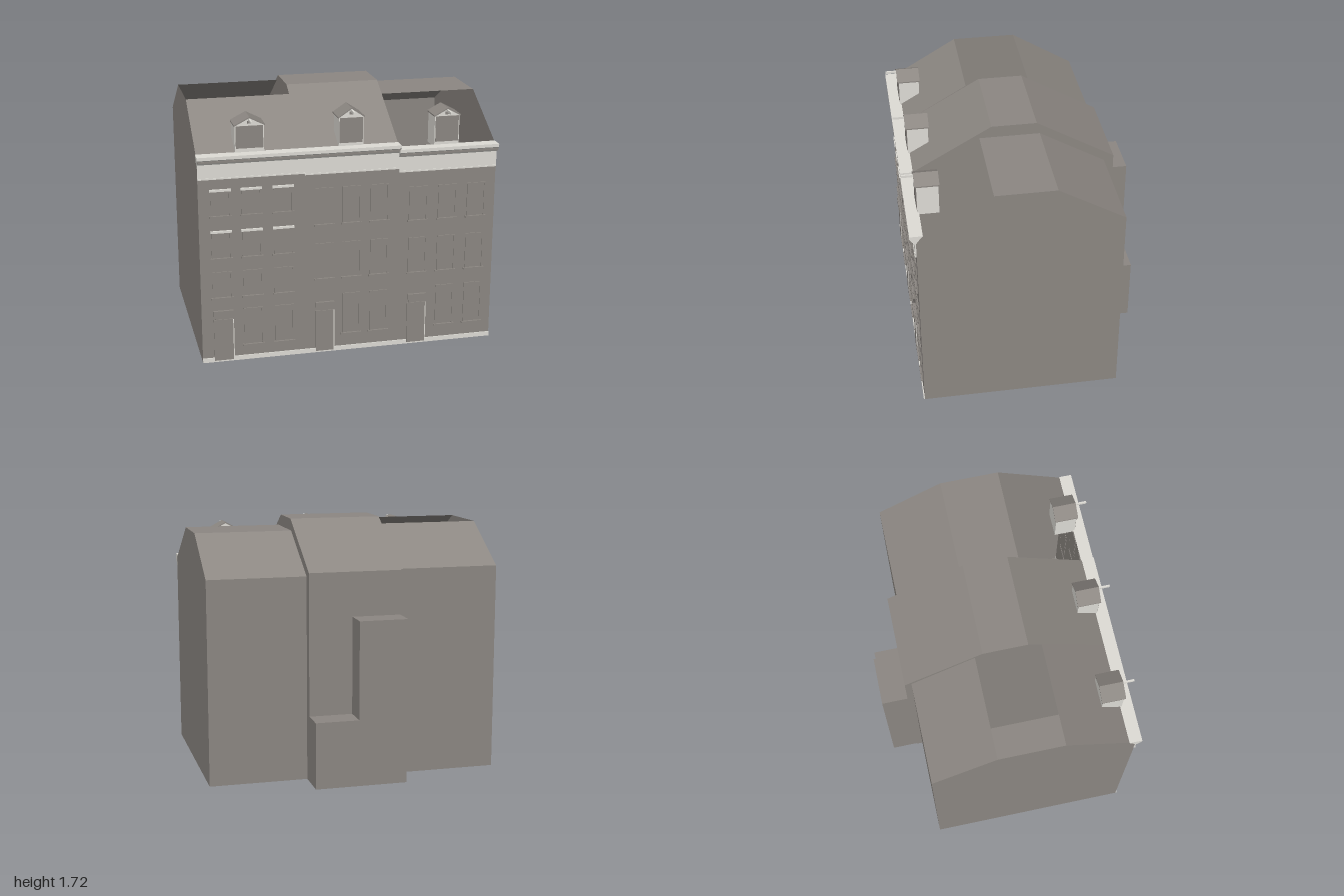
import * as THREE from 'three';

const wallMat = new THREE.MeshStandardMaterial({ color: 0x8c8782, side: THREE.DoubleSide });
wallMat.name = 'warm grey masonry';
const trimMat = new THREE.MeshStandardMaterial({ color: 0xdedcd6, side: THREE.DoubleSide });
trimMat.name = 'pale trim';

const FRONT = 0.76;

function add(parent, name, geometry, material) {
  const mesh = new THREE.Mesh(geometry, material);
  mesh.name = name;
  parent.add(mesh);
  return mesh;
}

// Box given by its limits on each axis
function box(parent, name, mat, x0, x1, y0, y1, z0, z1) {
  const g = new THREE.BoxGeometry(x1 - x0, y1 - y0, z1 - z0);
  g.translate((x0 + x1) / 2, (y0 + y1) / 2, (z0 + z1) / 2);
  return add(parent, name, g, mat);
}

// Sheets swept along x through a closed (z, y) profile, leaving out one open side
function sweep(profile, x0, x1, open = -1) {
  const pos = [];
  profile.forEach(([za, ya], i) => {
    if (i === open) return;
    const [zb, yb] = profile[(i + 1) % profile.length];
    pos.push(x0, ya, za, x1, ya, za, x1, yb, zb, x0, ya, za, x1, yb, zb, x0, yb, zb);
  });
  const g = new THREE.BufferGeometry();
  g.setAttribute('position', new THREE.Float32BufferAttribute(pos, 3));
  g.computeVertexNormals();
  return g;
}

// Flat end cap of the same profile, facing -x (side -1) or +x (side 1)
function cap(profile, x, side) {
  const shape = new THREE.Shape(profile.map(([z, y]) => new THREE.Vector2(-side * z, y)));
  return new THREE.ShapeGeometry(shape).rotateY(side * Math.PI / 2).translate(x, 0, 0);
}

function solid(parent, name, mat, profile, x0, x1, open) {
  const group = new THREE.Group();
  group.name = name;
  add(group, name + 'Sides', sweep(profile, x0, x1, open), mat);
  for (const s of [-1, 1]) add(group, name + 'End', cap(profile, s < 0 ? x0 : x1, s), mat);
  parent.add(group);
}

// Thin raised surround with a sill, and an optional pale lintel
function addWindow(parent, x0, x1, y0, y1, paleLintel) {
  const w = new THREE.Group();
  w.name = 'window';
  const t = 0.008, z = FRONT + 0.007;
  box(w, 'pane', wallMat, x0 + t, x1 - t, y0 + t, y1 - t, FRONT - 0.004, FRONT + 0.002);
  for (const x of [x0, x1 - t]) box(w, 'jamb', wallMat, x, x + t, y0, y1, FRONT - 0.002, z);
  box(w, 'head', wallMat, x0, x1, y1 - t, y1, FRONT - 0.002, z);
  box(w, 'sill', wallMat, x0 - 0.01, x1 + 0.008, y0 - 0.012, y0, FRONT - 0.002, FRONT + 0.014);
  if (paleLintel) box(w, 'lintel', trimMat, x0 - 0.006, x1 + 0.006, y1, y1 + 0.014, FRONT - 0.002, FRONT + 0.014);
  parent.add(w);
}

function addDoor(parent, x0, x1) {
  const d = new THREE.Group();
  d.name = 'door';
  box(d, 'doorLeaf', wallMat, x0, x1, 0.01, 0.3, FRONT - 0.004, FRONT + 0.009);
  box(d, 'doorJamb', trimMat, x1, x1 + 0.006, 0.01, 0.295, FRONT - 0.002, FRONT + 0.008);
  box(d, 'transom', wallMat, x0 + 0.01, x1 - 0.01, 0.3, 0.33, FRONT - 0.002, FRONT + 0.004);
  box(d, 'doorHood', wallMat, x0, x1 + 0.004, 0.325, 0.362, FRONT - 0.002, FRONT + 0.016);
  parent.add(d);
}

// Gabled dormer with a hoist beam
function addDormer(parent, x, half, y0, y1, peak) {
  const d = new THREE.Group();
  d.name = 'dormer';
  const zb = 0.585, zf = 0.725, body = half - 0.006;
  box(d, 'dormerBody', trimMat, x - body, x + body, y0 - 0.03, y1, zb, zf);
  box(d, 'dormerWindow', wallMat, x - body + 0.006, x + body - 0.006, y0 + 0.006, y1 - 0.004, zf, zf + 0.004);
  const tri = new THREE.Shape([[-half, y1], [half, y1], [0, peak - 0.008]].map((p) => new THREE.Vector2(...p)));
  const gable = new THREE.ExtrudeGeometry(tri, { depth: zf - zb, bevelEnabled: false });
  add(d, 'pediment', gable.translate(x, 0, zb), trimMat);
  for (const s of [-1, 1]) {
    const slope = new THREE.Shape([[0, peak], [0, peak - 0.008], [s * half, y1 - 0.004], [s * half, y1 + 0.004]]
      .map((p) => new THREE.Vector2(...p)));
    const g = new THREE.ExtrudeGeometry(slope, { depth: 0.158, bevelEnabled: false });
    add(d, 'dormerRoof', g.translate(x, 0, 0.578), wallMat);
  }
  box(d, 'pedimentVent', wallMat, x - 0.012, x + 0.012, peak - 0.045, peak - 0.028, zf, zf + 0.004);
  box(d, 'hoistBeam', trimMat, x - 0.006, x + 0.006, peak - 0.028, peak - 0.012, 0.7, 0.81);
  parent.add(d);
}

const HOUSES = [
  { name: 'rightHouse', x0: -0.995, x1: -0.305, eave: 1.41, ridge: 1.67, zr: [0.28, -0.16], back: -0.59, open: 3,
    band: 1.27, cols: [-0.917, -0.717, -0.51], w: 0.127, rows: [[1.015, 1.178, 1], [0.728, 0.9, 1], [0.455, 0.632, 0]],
    ground: [0.11, 0.365], dormer: [-0.652, 0.1, 1.435, 1.59, 1.645] },
  { name: 'middleHouse', x0: -0.305, x1: 0.325, eave: 1.41, ridge: 1.715, zr: [0.19, -0.11], back: -0.635, open: -1,
    band: 1.26, cols: [-0.235, -0.053, 0.135], w: 0.122, rows: [[0.908, 1.155, 0], [0.53, 0.775, 0]],
    ground: [0.125, 0.41], dormer: [0.01, 0.088, 1.43, 1.605, 1.668] },
  { name: 'leftHouse', x0: 0.325, x1: 0.99, eave: 1.38, ridge: 1.635, zr: [0.27, -0.13], back: -0.57, open: 2,
    band: 1.235, cols: [0.397, 0.597, 0.797], w: 0.125, rows: [[0.89, 1.12, 0], [0.52, 0.765, 0]],
    ground: [0.125, 0.41], dormer: [0.655, 0.09, 1.4, 1.58, 1.632] },
];

export function createModel() {
  const model = new THREE.Group();
  model.name = 'rowOfHouses';

  for (const h of HOUSES) {
    const house = new THREE.Group();
    house.name = h.name;
    model.add(house);

    // Hollow shell: front, eave, front slope, flat top, back slope, back, floor
    const profile = [[FRONT, 0], [FRONT, h.eave - 0.01], [0.725, h.eave], [h.zr[0], h.ridge],
      [h.zr[1], h.ridge], [h.back, h.eave], [h.back, 0]];
    solid(house, 'shell', wallMat, profile, h.x0, h.x1, h.open);

    // Frieze, gutter and plinth
    const e = h.eave;
    box(house, 'frieze', trimMat, h.x0, h.x1, h.band, e - 0.033, FRONT - 0.002, FRONT + 0.008);
    box(house, 'friezeFoot', trimMat, h.x0, h.x1, h.band - 0.01, h.band, FRONT - 0.002, FRONT + 0.012);
    solid(house, 'gutter', trimMat, [[FRONT, e - 0.05], [0.772, e - 0.05], [0.795, e - 0.02], [0.8, e - 0.015],
      [0.8, e + 0.006], [0.715, e + 0.006], [0.73, e - 0.01]], h.x0 - 0.004, h.x1 + 0.004);
    box(house, 'gutterShadowLine', wallMat, h.x0, h.x1, e - 0.033, e - 0.023, 0.78, 0.797);
    box(house, 'plinth', trimMat, h.x0, h.x1, 0, 0.03, FRONT - 0.002, FRONT + 0.007);

    // Openings: a door in the first bay, windows elsewhere
    for (const [y0, y1, pale] of h.rows) for (const x of h.cols) addWindow(house, x, x + h.w, y0, y1, pale);
    for (const x of h.cols.slice(1)) addWindow(house, x, x + h.w, ...h.ground, 0);
    addDoor(house, h.cols[0], h.cols[0] + h.w);
    addDormer(house, ...h.dormer);
  }

  // Stepped extension behind the middle house
  box(model, 'tallRearExtension', wallMat, -0.3, 0.03, 0, 1.11, -0.81, -0.63);
  box(model, 'lowRearExtension', wallMat, 0.03, 0.325, 0, 0.45, -0.81, -0.63);
  return model;
}
